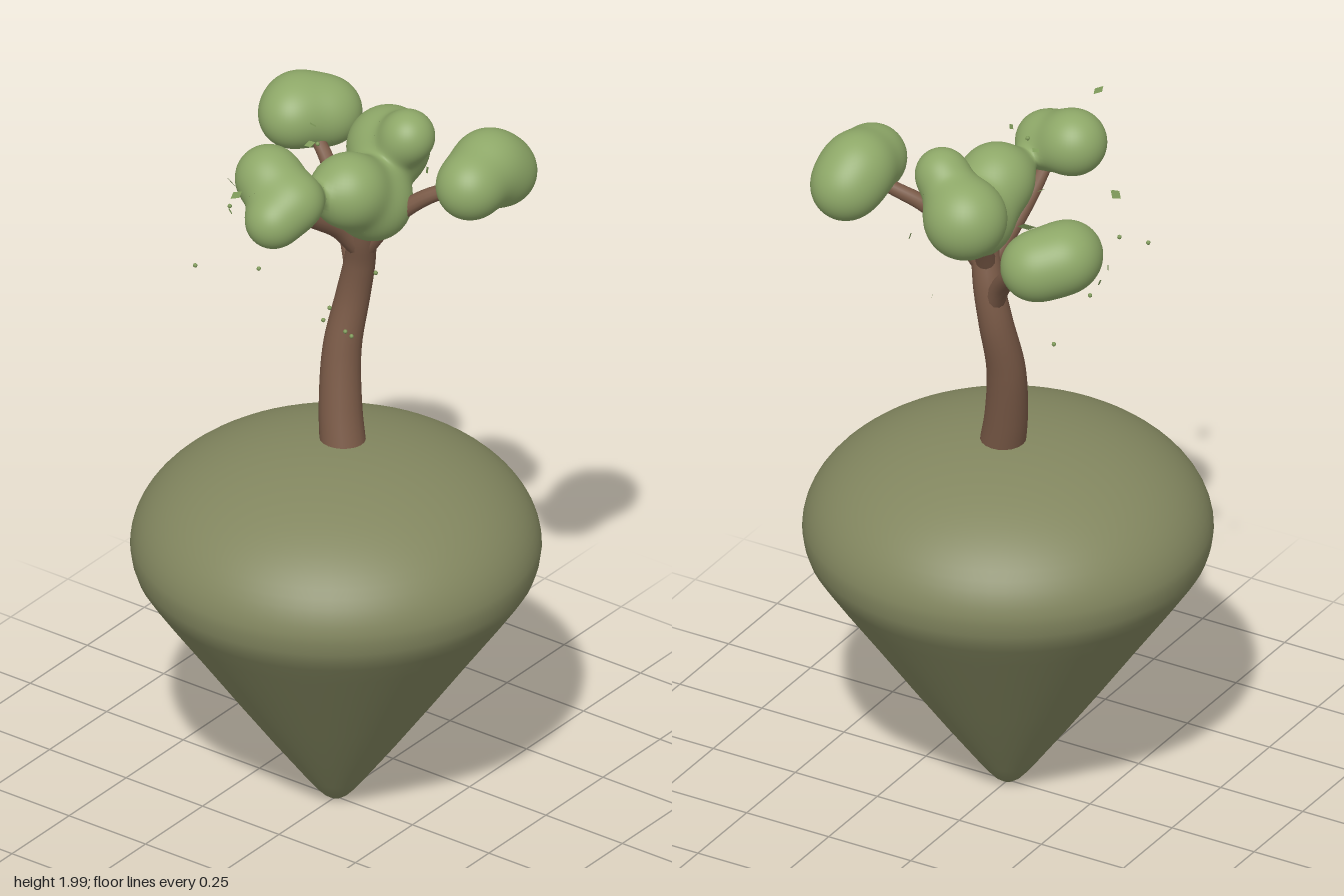
import * as THREE from 'three';

const mat = (name, color, side = THREE.FrontSide) => {
  const m = new THREE.MeshStandardMaterial({ color, side });
  m.name = name;
  return m;
};

// Tube along a smooth curve, tapering from r0 to r1
function taperedTube(points, r0, r1, sides = 16, steps = 28) {
  const curve = new THREE.CatmullRomCurve3(points.map(p => new THREE.Vector3(...p)));
  const geo = new THREE.TubeGeometry(curve, steps, 1, sides);
  const pos = geo.attributes.position, v = new THREE.Vector3();
  for (let i = 0; i < pos.count; i++) {
    const t = Math.floor(i / (sides + 1)) / steps;
    const c = curve.getPointAt(t);
    v.fromBufferAttribute(pos, i).sub(c).multiplyScalar(r0 + (r1 - r0) * t).add(c);
    pos.setXYZ(i, v.x, v.y, v.z);
  }
  return geo;
}

// Distance to a soft union of balls [x, y, z, r]
const BLEND = 0.022;
function softDistance(balls, p) {
  let sum = 0;
  for (const [x, y, z, r] of balls) {
    sum += Math.exp(-(Math.hypot(p.x - x, p.y - y, p.z - z) - r) / BLEND);
  }
  return -BLEND * Math.log(sum);
}

function gradient(balls, p) {
  const g = new THREE.Vector3(), e = 0.001;
  for (const a of ['x', 'y', 'z']) {
    const q = p.clone();
    q[a] += e;
    const hi = softDistance(balls, q);
    q[a] -= 2 * e;
    g[a] = (hi - softDistance(balls, q)) / (2 * e);
  }
  return g;
}

// Spheres whose points are moved onto the blended surface
function foliage(name, balls, material) {
  const group = new THREE.Group();
  group.name = name;
  for (const [x, y, z, r] of balls) {
    const geo = new THREE.SphereGeometry(r, 40, 28).translate(x, y, z);
    const pos = geo.attributes.position, p = new THREE.Vector3();
    for (let i = 0; i < pos.count; i++) {
      p.fromBufferAttribute(pos, i);
      let g = gradient(balls, p);
      for (let k = 0; k < 6; k++) {
        const step = softDistance(balls, p) / Math.max(g.lengthSq(), 0.2);
        p.addScaledVector(g, -THREE.MathUtils.clamp(step, -0.05, 0.05));
        g = gradient(balls, p);
      }
      g.normalize();
      pos.setXYZ(i, p.x, p.y, p.z);
      geo.attributes.normal.setXYZ(i, g.x, g.y, g.z);
    }
    const mesh = new THREE.Mesh(geo, material);
    mesh.name = 'leafClump';
    group.add(mesh);
  }
  return group;
}

export function createModel() {
  const model = new THREE.Group();
  model.name = 'floatingIslandTree';
  const ground = mat('mossy ground', 0x82865f);
  const bark = mat('bark', 0x7a5a47);
  const leaf = mat('leaf', 0x8ea868);
  const looseLeaf = mat('loose leaf', 0x7f9a5a, THREE.DoubleSide);
  const add = (name, geo, material, parent = model) => {
    const mesh = new THREE.Mesh(geo, material);
    mesh.name = name;
    parent.add(mesh);
    return mesh;
  };

  // Island: rounded tip, straight cone, domed top
  const profile = [[0, 0], [0.018, 0.004], [0.036, 0.017], [0.055, 0.038], [0.08, 0.07],
    [0.17, 0.192], [0.27, 0.332], [0.37, 0.475], [0.46, 0.602], [0.505, 0.668],
    [0.525, 0.7], [0.535, 0.73]].map(p => new THREE.Vector2(...p));
  for (let i = 0; i <= 20; i++) {
    const a = (i / 20) * Math.PI / 2;
    profile.push(new THREE.Vector2(0.54 * Math.cos(a), 0.765 + 0.295 * Math.sin(a)));
  }
  profile[profile.length - 1].x = 0;
  add('island', new THREE.LatheGeometry(profile, 72), ground);

  // Trunk and branches
  add('trunk', taperedTube([[0.04, 1.02, -0.005], [0.06, 1.14, -0.03], [0.09, 1.3, -0.047],
    [0.122, 1.45, -0.035], [0.125, 1.56, -0.015], [0.11, 1.65, 0.003], [0.1, 1.76, 0.015]],
    0.062, 0.034, 20, 40), bark);
  const branches = {
    backBranch: [[0.125, 1.49, -0.025], [0.155, 1.58, -0.07], [0.215, 1.67, -0.15],
      [0.265, 1.73, -0.23], [0.3, 1.79, -0.31]],
    frontBranch: [[0.115, 1.6, 0], [0.14, 1.7, 0.07], [0.175, 1.775, 0.15],
      [0.205, 1.815, 0.22], [0.23, 1.85, 0.3]],
    rightBranch: [[0.115, 1.6, -0.005], [0.05, 1.68, -0.03], [-0.05, 1.75, -0.04],
      [-0.15, 1.82, -0.04]],
    leftBranch: [[0.115, 1.6, -0.005], [0.17, 1.7, -0.02], [0.26, 1.82, -0.03]],
  };
  for (const [name, pts] of Object.entries(branches)) {
    add(name, taperedTube(pts, 0.029, 0.017, 12), bark);
  }

  // Foliage clusters
  model.add(foliage('mainFoliage', [
    [0.035, 1.82, 0.015, 0.1], [0.13, 1.745, 0.025, 0.103], [0.27, 1.83, -0.03, 0.11],
    [0.225, 1.915, 0.068, 0.07], [-0.135, 1.89, -0.12, 0.088],
    [-0.225, 1.825, -0.04, 0.07], [-0.155, 1.86, -0.02, 0.075]], leaf));
  model.add(foliage('frontFoliage', [
    [0.17, 1.87, 0.31, 0.088], [0.265, 1.89, 0.3, 0.093], [0.315, 1.85, 0.31, 0.088]], leaf));
  model.add(foliage('backFoliage', [
    [0.265, 1.815, -0.345, 0.08], [0.315, 1.825, -0.36, 0.083], [0.36, 1.805, -0.295, 0.09]], leaf));

  // Loose leaves: thin diamonds [x, y, z, length, tilt, turn]
  const diamond = new THREE.BufferGeometry().setFromPoints([[0.5, 0, 0], [0.1, 0, -0.28],
    [-0.5, 0, 0], [-0.1, 0, 0.28]].map(p => new THREE.Vector3(...p)));
  diamond.setIndex([0, 1, 2, 0, 2, 3]);
  diamond.computeVertexNormals();
  const leaves = new THREE.Group();
  leaves.name = 'looseLeaves';
  model.add(leaves);
  [[-0.33, 1.94, -0.08, 0.05, 0.1, 0], [0.04, 1.64, -0.22, 0.05, 0.5, 0.6],
    [-0.087, 1.8, -0.277, 0.05, 1.0, 1.1], [0.1, 1.87, -0.16, 0.035, 0.5, -0.4],
    [0.15, 1.78, -0.145, 0.05, 1.1, -1.1], [0.06, 1.96, -0.12, 0.03, 0.4, 1.2],
    [0.19, 1.7, -0.26, 0.04, 0.4, -0.1], [-0.155, 1.76, -0.23, 0.03, 0.9, 0.8],
    [0.06, 1.67, -0.34, 0.03, 1.4, 0.6], [0.17, 1.69, -0.38, 0.03, 1.4, 0.2],
    [0.44, 1.68, -0.03, 0.03, 1.3, 0.4], [0.3, 1.75, 0.12, 0.035, 1.4, 0.3],
    [0, 1.97, -0.01, 0.03, 1.2, 0.9]].forEach(([x, y, z, s, tilt, turn]) => {
    const m = add('looseLeaf', diamond, looseLeaf, leaves);
    m.position.set(x, y, z);
    m.scale.setScalar(s);
    m.rotation.set(tilt, turn, 0, 'YXZ');
  });

  // Drifting specks
  const specks = new THREE.Group();
  specks.name = 'specks';
  model.add(specks);
  const speck = new THREE.SphereGeometry(0.006, 8, 6);
  [[-0.283, 1.67, 0.19], [-0.19, 1.56, 0.1], [-0.12, 1.5, 0.12], [-0.09, 1.69, 0.197],
    [-0.017, 1.52, -0.24], [-0.05, 1.7, -0.31], [-0.215, 1.6, -0.3], [0.27, 1.53, -0.3],
    [-0.2, 1.55, 0.2], [0, 1.95, -0.06]].forEach(p => {
    add('speck', speck, looseLeaf, specks).position.set(...p);
  });
  return model;
}
